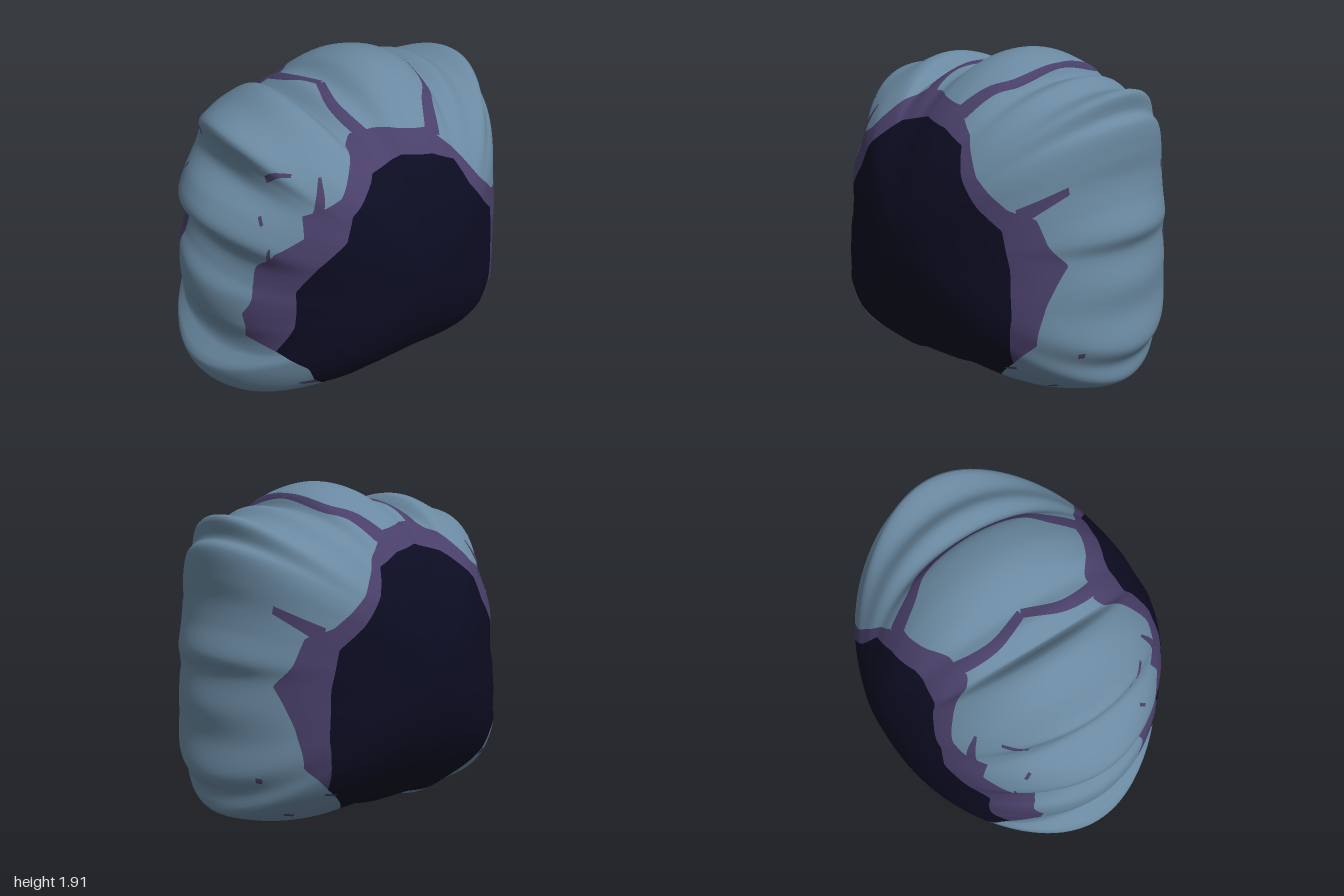
import * as THREE from 'three';

const CX = 0.02, CY = 0.93, DEPTH = 0.865, COLS = 360;

// Lumpy outline of the rock, counterclockwise
const OUTLINE = [
  [.98, 1], [.93, 1.17], [.91, 1.3], [.92, 1.43], [.91, 1.6], [.86, 1.63], [.86, 1.75], [.68, 1.73],
  [.57, 1.79], [.45, 1.77], [.4, 1.85], [.2, 1.91], [.04, 1.88], [-.07, 1.8], [-.18, 1.8], [-.29, 1.73],
  [-.34, 1.8], [-.42, 1.82], [-.58, 1.75], [-.76, 1.69], [-.73, 1.57], [-.73, 1.46], [-.87, 1.35], [-.94, 1.23],
  [-.83, 1.06], [-.87, .94], [-.94, .84], [-.94, .66], [-.89, .55], [-.9, .45], [-1, .34], [-.94, .19],
  [-.79, .08], [-.55, .05], [-.39, 0], [-.28, .03], [.01, .015], [.14, .04], [.47, .015], [.73, .05],
  [.92, .13], [.93, .24], [.99, .34], [.96, .55], [.97, .71], [.94, .9],
];
// Edge of the dark cap
const CAP = [
  [.64, .87], [.6, 1.08], [.49, 1.19], [.37, 1.35], [.31, 1.49], [.17, 1.56], [0, 1.59], [-.2, 1.54],
  [-.39, 1.38], [-.44, 1.25], [-.58, 1.11], [-.67, .95], [-.69, .74], [-.76, .55], [-.63, .45], [-.58, .34],
  [-.44, .2], [-.4, .13], [-.18, .04], [.04, .02], [.17, .03], [.36, .12], [.6, .31], [.65, .6],
];
// Outer edge of the purple border around the cap
const BORDER = [
  [.84, .88], [.78, 1], [.73, 1.14], [.62, 1.19], [.46, 1.35], [.33, 1.54], [.2, 1.67], [0, 1.7],
  [-.2, 1.69], [-.28, 1.63], [-.42, 1.47], [-.6, 1.38], [-.62, 1.27], [-.75, 1.17], [-.8, .95], [-.87, .76],
  [-.85, .6], [-.76, .55], [-.63, .45], [-.58, .34], [-.44, .2], [-.4, .13], [-.18, .04], [.04, .02],
  [.17, .03], [.36, .12], [.6, .31], [.74, .44], [.78, .66],
];

// Turns a closed outline into a radius lookup by angle
function radiusTable(points, smooth) {
  let pts = points.map(([x, y]) => new THREE.Vector2(x - CX, y - CY));
  if (smooth) {
    const c = new THREE.CatmullRomCurve3(pts.map(p => new THREE.Vector3(p.x, p.y, 0)), true);
    pts = c.getPoints(500).map(p => new THREE.Vector2(p.x, p.y));
  }
  return Array.from({ length: COLS }, (_, j) => {
    const t = j / COLS * Math.PI * 2, d = new THREE.Vector2(Math.cos(t), Math.sin(t));
    let best = 0;
    pts.forEach((a, i) => {
      const e = pts[(i + 1) % pts.length].clone().sub(a), den = d.cross(e);
      if (Math.abs(den) < 1e-9) return;
      const r = a.cross(e) / den, k = a.cross(d) / den;
      if (r > 0 && k >= -1e-6 && k <= 1 + 1e-6) best = Math.max(best, r);
    });
    return best;
  });
}

const rim = radiusTable(OUTLINE, true);
const soft = rim.map((_, j) => {
  let sum = 0;
  for (let k = -14; k <= 14; k++) sum += rim[(j + k + COLS) % COLS];
  return sum / 29;
});

function lookup(table, angle) {
  const f = ((angle / (Math.PI * 2) % 1) + 1) % 1 * COLS, i = Math.floor(f);
  return THREE.MathUtils.lerp(table[i % COLS], table[(i + 1) % COLS], f - i);
}

// Lumps are strong at the rim and fade toward the domes
function radiusAt(angle, s) {
  const base = lookup(soft, angle);
  return s * (base + (lookup(rim, angle) - base) * s ** 5);
}

function surface(angle, phi, lift = 1) {
  const r = radiusAt(angle, Math.sin(phi)) * lift;
  return [CX + r * Math.cos(angle), Math.max(0, CY + r * Math.sin(angle)), DEPTH * Math.cos(phi) * lift];
}

// Polar angle on the front dome at a distance from its middle
function phiFor(angle, r) {
  let lo = 0, hi = 1;
  for (let i = 0; i < 30; i++) {
    const mid = (lo + hi) / 2;
    if (radiusAt(angle, mid) < r) lo = mid; else hi = mid;
  }
  return Math.asin(Math.min(1, hi));
}

// Whole rock from front pole to back pole, split in colour bands
function rockGeometry() {
  const cap = radiusTable(CAP), border = radiusTable(BORDER);
  const bands = [20, 8, 20], rows = 48, pos = [], index = [];
  const columns = cap.map((r, j) => {
    const t = j / COLS * Math.PI * 2;
    const a = phiFor(t, r), b = Math.max(a, phiFor(t, border[j]));
    const stops = [0, a, b, Math.PI / 2], phis = [0];
    bands.forEach((n, k) => {
      for (let i = 1; i <= n; i++) phis.push(THREE.MathUtils.lerp(stops[k], stops[k + 1], i / n));
    });
    return phis;
  });
  for (let i = 0; i <= rows * 2; i++) {
    columns.forEach((phis, j) => {
      const phi = i <= rows ? phis[i] : Math.PI - phis[rows * 2 - i];
      pos.push(...surface(j / COLS * Math.PI * 2, phi));
    });
  }
  const geo = new THREE.BufferGeometry();
  let row = 0;
  [0, 1, 2, 2, 1, 0].forEach((material, k) => {
    const start = index.length, n = bands[k < 3 ? k : 5 - k];
    for (let i = 0; i < n; i++, row++) {
      for (let j = 0; j < COLS; j++) {
        const a = row * COLS + j, d = row * COLS + (j + 1) % COLS, b = a + COLS, c = d + COLS;
        if (row < rows * 2 - 1) index.push(a, b, c);
        if (row > 0) index.push(a, c, d);
      }
    }
    geo.addGroup(start, index.length - start, material);
  });
  geo.setAttribute('position', new THREE.Float32BufferAttribute(pos, 3));
  geo.setIndex(index);
  geo.computeVertexNormals();
  return geo;
}

// Thin ribbon following the surface through front points, on side +1 or -1
function ribbonGeometry(path, w0, w1, side) {
  const dirs = path.map(([x, y]) => {
    const t = Math.atan2(y - CY, x - CX), p = phiFor(t, Math.hypot(x - CX, y - CY));
    return new THREE.Vector3(Math.sin(p) * Math.cos(t), Math.sin(p) * Math.sin(t), Math.cos(p));
  });
  const curve = new THREE.CatmullRomCurve3(dirs), N = 24, M = 4, pos = [], index = [];
  for (let i = 0; i <= N; i++) {
    const c = curve.getPoint(i / N).normalize();
    const across = curve.getTangent(i / N).cross(c).normalize();
    const w = THREE.MathUtils.lerp(w0, w1, i / N);
    for (let k = 0; k <= M; k++) {
      const d = c.clone().addScaledVector(across, (k / M - 0.5) * w).normalize();
      const p = surface(Math.atan2(d.y, d.x), Math.acos(Math.max(0, d.z)), 1.005);
      pos.push(p[0], p[1], p[2] * side);
      if (i < N && k < M) {
        const a = i * (M + 1) + k, b = a + 1, e = a + M + 1, f = e + 1;
        if (side > 0) index.push(a, b, f, a, f, e);
        else index.push(a, f, b, a, e, f);
      }
    }
  }
  const geo = new THREE.BufferGeometry();
  geo.setAttribute('position', new THREE.Float32BufferAttribute(pos, 3));
  geo.setIndex(index);
  geo.computeVertexNormals();
  return geo;
}

export function createModel() {
  const flat = (name, color) => Object.assign(new THREE.MeshStandardMaterial({ color }), { name });
  const dark = flat('midnight', 0x0c0c22);
  const purple = flat('dusky purple', 0x493f69);
  const blue = flat('slate blue', 0x6a89a1);

  const group = new THREE.Group();
  group.name = 'rock';
  const body = new THREE.Mesh(rockGeometry(), [dark, purple, blue]);
  body.name = 'rockBody';
  group.add(body);

  // Purple veins and specks, the same on front and back
  const marks = [
    ['topVein', [[-.13, 1.66], [-.17, 1.74], [-.17, 1.78], [-.11, 1.86]], .09, .06],
    ['topVein', [[.22, 1.63], [.3, 1.74], [.38, 1.78], [.44, 1.9]], .1, .03],
    ['sideVein', [[.66, 1.15], [.74, 1.21], [.82, 1.28]], .09, .04],
    ['sideVein', [[-.56, 1.34], [-.52, 1.46], [-.48, 1.57]], .09, .015],
    ['sideVein', [[-.75, 1.1], [-.76, 1.2]], .05, .01],
    ['speck', [[-.68, 1.53], [-.6, 1.58]], .03, .02],
    ['speck', [[-.76, 1.31], [-.75, 1.35]], .02, .02],
    ['speck', [[-.65, .33], [-.56, .33]], .01, .05],
    ['speck', [[-.49, .16], [-.45, .17]], .02, .02],
    ['speck', [[.66, .135], [.72, .15]], .03, .03],
    ['speck', [[.53, .27], [.6, .28]], .01, .02],
    ['speck', [[.69, .58], [.69, .62]], .02, .02],
    ['speck', [[.88, .35], [.89, .38]], .04, .04],
  ];
  for (const [name, path, w0, w1] of marks) {
    for (const side of [1, -1]) {
      const mesh = new THREE.Mesh(ribbonGeometry(path, w0, w1, side), purple);
      mesh.name = name + (side > 0 ? 'Front' : 'Back');
      group.add(mesh);
    }
  }
  return group;
}
